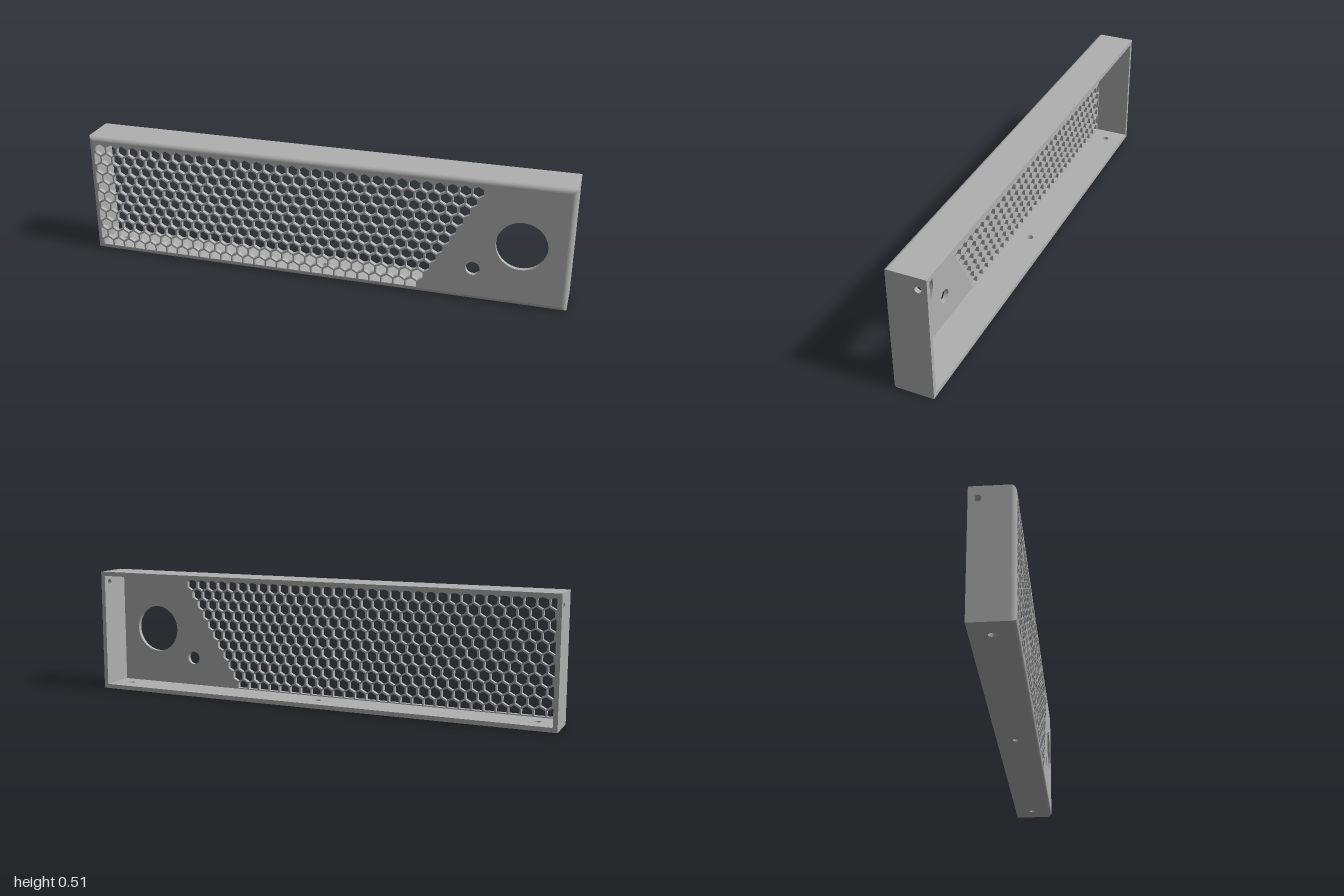
import * as THREE from 'three';

const H = 0.515, ZB = -0.082, ZF = 0.082; // height, back and front planes
const T = 0.018;                          // wall thickness, also the front edge radius

const circle = (x, y, r) => new THREE.Path().absarc(x, y, r, 0, Math.PI * 2, true);

// Rectangular plate with holes, extruded along +z by the wall thickness
function plate(x0, x1, y0, y1, holes = []) {
  const shape = new THREE.Shape([[x0, y0], [x1, y0], [x1, y1], [x0, y1]]
    .map(([x, y]) => new THREE.Vector2(x, y)));
  shape.holes.push(...holes);
  return new THREE.ExtrudeGeometry(shape, { depth: T, bevelEnabled: false, curveSegments: 24 });
}

// Keep the part of a convex polygon on one side of an axis-aligned line
function clip(points, axis, limit) {
  const out = [];
  points.forEach((a, i) => {
    const b = points[(i + 1) % points.length];
    const inA = a[axis] >= limit, inB = b[axis] >= limit;
    if (inA) out.push(a);
    if (inA !== inB) out.push(a.clone().lerp(b, (limit - a[axis]) / (b[axis] - a[axis])));
  });
  return out;
}

// Honeycomb vents: staggered rows ending on a slanted right edge
function honeycomb() {
  const pitch = 0.0494, rowStep = pitch * Math.sqrt(3) / 2, radius = 0.0245;
  const left = -0.978, bottom = 0.022, holes = [];
  for (let row = 0; row < 11; row++) {
    const y = 0.46 - row * rowStep;
    for (let x = 0.632 - row * pitch / 2; x > left - 0.015; x -= pitch) {
      let hex = [];
      for (let k = 0; k < 6; k++) {
        const a = Math.PI / 6 - k * Math.PI / 3;
        hex.push(new THREE.Vector2(x + radius * Math.cos(a), y + radius * Math.sin(a)));
      }
      hex = clip(clip(hex, 'x', left), 'y', bottom);
      if (hex.length > 2) holes.push(new THREE.Path(hex));
    }
  }
  return holes;
}

// Quarter-round strip along one front edge, mitred at its ends
function roundedEdge(side) {
  const steps = 8, pos = [], index = [];
  for (let i = 0; i <= steps; i++) {
    const a = i / steps * Math.PI / 2;
    const d = T * (1 - Math.cos(a)), z = ZF - T + T * Math.sin(a);
    const c = [[-1 + d, d], [1 - d, d], [1 - d, H - d], [-1 + d, H - d]];
    pos.push(...c[side], z, ...c[(side + 1) % 4], z);
    if (i < steps) {
      const k = i * 2;
      index.push(k, k + 1, k + 3, k, k + 3, k + 2);
    }
  }
  const g = new THREE.BufferGeometry();
  g.setAttribute('position', new THREE.Float32BufferAttribute(pos, 3));
  g.setIndex(index);
  g.computeVertexNormals();
  return g;
}

export function createModel() {
  const group = new THREE.Group();
  group.name = 'ventedFrontCover';
  const grey = new THREE.MeshStandardMaterial({ color: 0xb0b0b0 });
  grey.name = 'grey';
  const add = (name, geometry, x = 0, y = 0, z = 0) => {
    const mesh = new THREE.Mesh(geometry, grey);
    mesh.name = name;
    mesh.position.set(x, y, z);
    group.add(mesh);
  };

  // Front panel with vents, large round opening and small button hole
  const openings = [...honeycomb(), circle(0.81, 0.257, 0.1), circle(0.628, 0.137, 0.028)];
  add('frontPanel', plate(-1 + T, 1 - T, T, H - T, openings), 0, 0, ZF - T);
  ['bottom', 'left', 'top', 'right'].forEach((n, i) => add(n + 'RoundedEdge', roundedEdge(i)));

  // Side walls, each with a screw hole near the top back corner
  const side = plate(ZB, ZF - T, 0, H, [circle(-0.048, 0.467, 0.013)]).rotateY(-Math.PI / 2);
  add('leftWall', side, 1);
  add('rightWall', side, -1 + T);

  // Top wall is plain, bottom wall has three screw holes
  const screws = [-0.91, 0, 0.91].map(x => circle(x, -0.005, 0.013));
  add('topWall', plate(-1 + T, 1 - T, ZB, ZF - T).rotateX(Math.PI / 2), 0, H);
  add('bottomWall', plate(-1 + T, 1 - T, ZB, ZF - T, screws).rotateX(Math.PI / 2), 0, T);

  return group;
}
